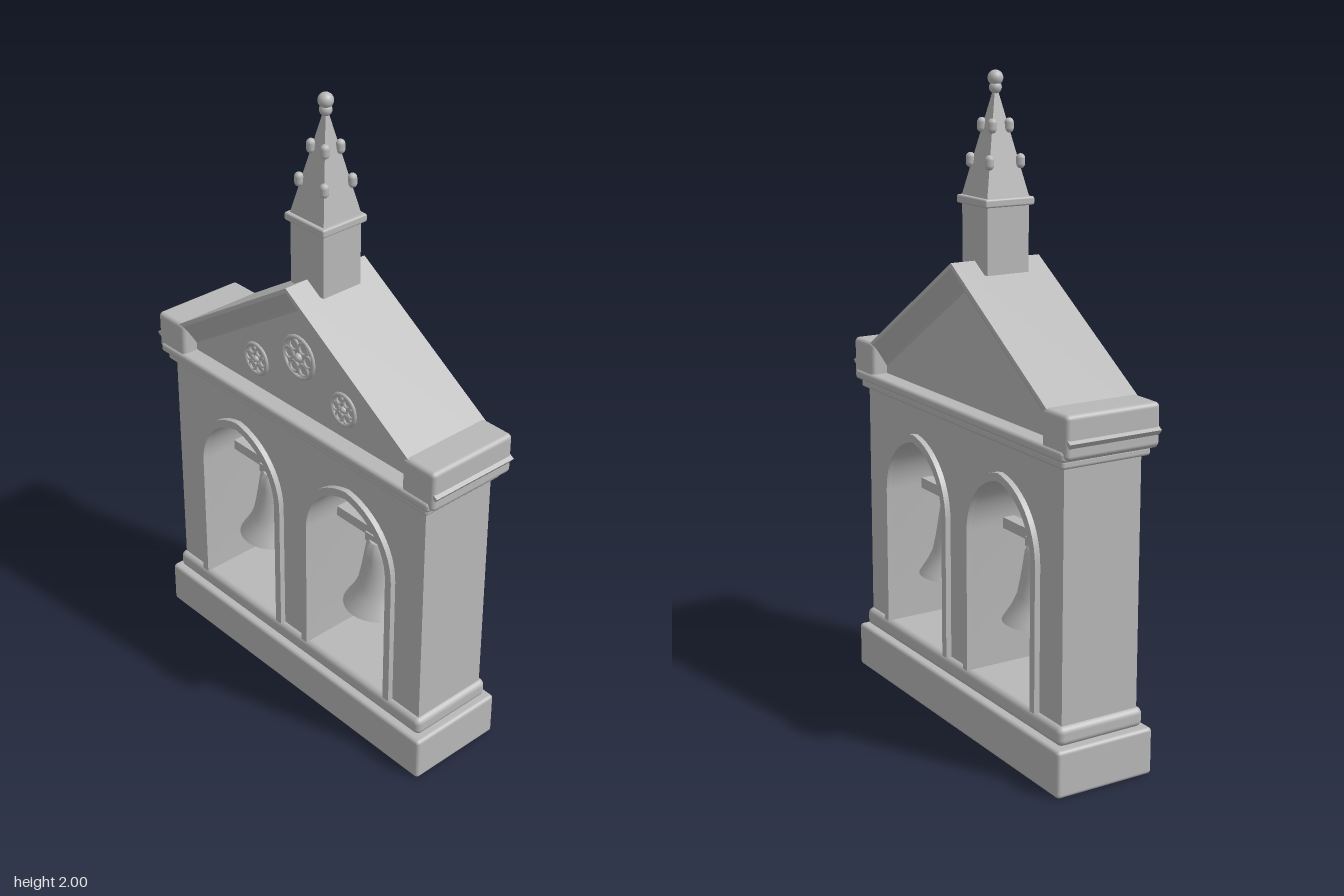
import * as THREE from 'three';
import { toCreasedNormals } from 'three/addons/utils/BufferGeometryUtils.js';
import { RoundedBoxGeometry } from 'three/addons/geometries/RoundedBoxGeometry.js';

export function createModel() {
  const model = new THREE.Group();
  const stone = new THREE.MeshStandardMaterial({ color: 0xb8b8b8 });
  stone.name = 'stone grey';

  const add = (name, geometry, x = 0, y = 0, z = 0, parent = model) => {
    const mesh = new THREE.Mesh(geometry, stone);
    mesh.name = name;
    mesh.position.set(x, y, z);
    parent.add(mesh);
    return mesh;
  };
  // Rounded block spanning y0 to y1, with half sizes in x and z
  const block = (name, hx, y0, y1, hz, r = 0.01, x = 0) =>
    add(name, new RoundedBoxGeometry(hx * 2, y1 - y0, hz * 2, 3, r), x, (y0 + y1) / 2);
  const extrude = (shape, depth) =>
    toCreasedNormals(new THREE.ExtrudeGeometry(shape, { depth, bevelEnabled: false }), 0.5);

  // Slightly pointed arch outline, concentric for every half width w
  const archPoints = (cx, w, bottom) => {
    const spring = 0.65, off = 0.0266, R = w + off, end = Math.acos(off / R);
    const right = [], left = [];
    for (let i = 0; i <= 12; i++) {
      const a = (end * i) / 12, x = R * Math.cos(a) - off, y = spring + R * Math.sin(a);
      right.push(new THREE.Vector2(cx + x, y));
      if (i < 12) left.unshift(new THREE.Vector2(cx - x, y));
    }
    return [new THREE.Vector2(cx + w, bottom), ...right, ...left, new THREE.Vector2(cx - w, bottom)];
  };

  // Plinth
  block('base', 0.6, 0, 0.145, 0.165, 0.012);
  block('baseMoulding', 0.58, 0.145, 0.205, 0.147, 0.02);

  // Wall with two arched openings
  const wall = new THREE.Shape([
    new THREE.Vector2(-0.565, 0.2), new THREE.Vector2(0.565, 0.2),
    new THREE.Vector2(0.565, 0.98), new THREE.Vector2(-0.565, 0.98)]);
  for (const s of [-1, 1]) wall.holes.push(new THREE.Path(archPoints(s * 0.25, 0.175, 0.204)));
  add('wall', extrude(wall, 0.26), 0, 0, -0.13);

  // Arch surrounds on both faces
  for (const s of [-1, 1]) {
    const outer = archPoints(s * 0.25, 0.2, 0.204);
    const inner = archPoints(s * 0.25, 0.175, 0.204).reverse();
    const trim = extrude(new THREE.Shape([...outer, ...inner]), 0.018);
    add('archSurroundFront', trim, 0, 0, 0.13);
    add('archSurroundBack', trim, 0, 0, -0.148);
  }

  // Bells hanging from beams
  const bellProfile = [
    [0.001, 0.635], [0.034, 0.632], [0.045, 0.615], [0.05, 0.58], [0.058, 0.53], [0.068, 0.48],
    [0.084, 0.445], [0.103, 0.415], [0.113, 0.4], [0.104, 0.4], [0.09, 0.42],
    [0.07, 0.455], [0.057, 0.49], [0.046, 0.55], [0.038, 0.605], [0.001, 0.615],
  ].map(([x, y]) => new THREE.Vector2(x, y)).reverse();
  const bellGeometry = toCreasedNormals(new THREE.LatheGeometry(bellProfile, 32), 0.9);
  for (const s of [-1, 1]) {
    const bell = new THREE.Group();
    bell.name = s > 0 ? 'leftBell' : 'rightBell';
    bell.position.x = s * 0.25;
    model.add(bell);
    add('beam', new THREE.BoxGeometry(0.37, 0.034, 0.04), 0, 0.657, 0, bell);
    add('headstock', new THREE.BoxGeometry(0.085, 0.03, 0.05), 0, 0.637, 0, bell);
    add('bellBody', bellGeometry, 0, 0, 0, bell);
    add('clapperRod', new THREE.CylinderGeometry(0.005, 0.005, 0.21, 8), 0, 0.51, 0, bell);
    add('clapper', new THREE.SphereGeometry(0.016, 16, 12), 0, 0.406, 0, bell);
  }

  // Cornice
  block('corniceLower', 0.585, 0.963, 0.992, 0.15, 0.01);
  block('corniceUpper', 0.603, 0.988, 1.02, 0.163, 0.012);

  // Recessed gable
  const gable = new THREE.Shape([
    new THREE.Vector2(-0.56, 1.01), new THREE.Vector2(0.56, 1.01), new THREE.Vector2(0, 1.38)]);
  add('gable', extrude(gable, 0.21), 0, 0, -0.105);

  // Sloping roof slabs with moulded edges, mitred at the ridge
  const half = [[0.105, -0.09], [0.122, -0.062], [0.14, -0.035], [0.153, -0.015], [0.153, 0]];
  const section = new THREE.Shape([
    ...half.map(([x, y]) => new THREE.Vector2(x, y)),
    ...half.slice().reverse().map(([x, y]) => new THREE.Vector2(-x, y))]);
  const length = 0.627;
  for (const s of [-1, 1]) {
    const g = new THREE.ExtrudeGeometry(section, { depth: length, bevelEnabled: false });
    g.rotateY((s * Math.PI) / 2);
    const p = g.attributes.position;
    for (let i = 0; i < p.count; i++) {
      let x = Math.abs(p.getX(i)), y = p.getY(i);
      if (x > length / 2) x += y * 0.5;
      p.setXY(i, s * x, 1.45 + y - 0.645 * x);
    }
    add(s > 0 ? 'leftRoof' : 'rightRoof', toCreasedNormals(g, 0.5));
    block('eaveBlock', 0.063, 0.995, 1.123, 0.157, 0.014, s * 0.553);
  }

  // Rosettes on the front of the gable
  const rosette = (x, y, r, lobes) => {
    const group = new THREE.Group();
    group.name = 'rosette';
    group.position.set(x, y, 0.105);
    model.add(group);
    add('rosetteRing', new THREE.TorusGeometry(r - 0.007, 0.007, 8, 24), 0, 0, 0, group);
    const d = r * 0.57, lobe = new THREE.TorusGeometry(r * 0.26, 0.005, 6, 16);
    for (let i = 0; i < lobes; i++) {
      const a = (i / lobes) * Math.PI * 2;
      add('rosetteLobe', lobe, d * Math.cos(a), d * Math.sin(a), 0, group);
    }
    add('rosetteBoss', new THREE.SphereGeometry(r * 0.2, 12, 8), 0, 0, 0, group);
  };
  rosette(0, 1.205, 0.073, 6);
  for (const s of [-1, 1]) rosette(s * 0.195, 1.115, 0.056, 6);

  // Pinnacle
  add('pinnacleShaft', new THREE.BoxGeometry(0.142, 0.205, 0.142), 0, 1.517, 0);
  block('pinnacleCollar', 0.084, 1.613, 1.638, 0.084, 0.006);
  const spire = new THREE.CylinderGeometry(0.008, 0.072 * Math.SQRT2, 0.305, 4).toNonIndexed();
  spire.rotateY(Math.PI / 4);
  spire.computeVertexNormals();
  add('spire', spire, 0, 1.788, 0);

  // Crockets on the spire corners
  const crocket = new THREE.CapsuleGeometry(0.014, 0.016, 4, 10);
  for (const [d, y] of [[0.053, 1.74], [0.029, 1.842]])
    for (const sx of [-1, 1]) for (const sz of [-1, 1]) add('crocket', crocket, sx * d, y, sz * d);

  // Finial
  add('finialNeck', new THREE.SphereGeometry(0.019, 16, 12), 0, 1.95, 0);
  add('finialBall', new THREE.SphereGeometry(0.023, 20, 14), 0, 1.977, 0);

  return model;
}
